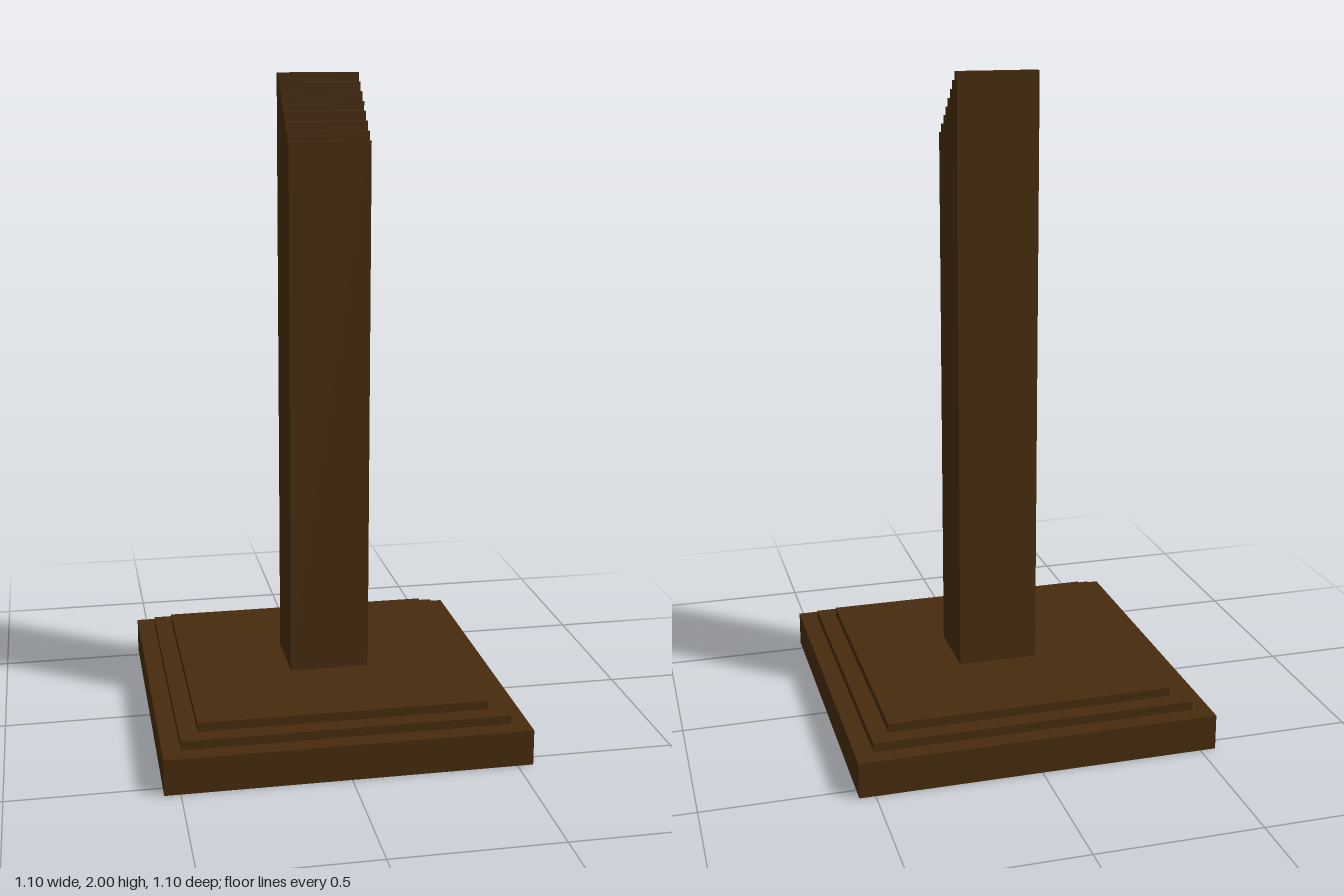
import * as THREE from 'three';

const U = 2 / 73; // one grid step

export function createModel() {
  const group = new THREE.Group();
  const wood = new THREE.MeshStandardMaterial({ color: 0x472c0e });
  wood.name = 'darkBrown';

  const add = (name, geometry) => {
    const mesh = new THREE.Mesh(geometry, wood);
    mesh.name = name;
    group.add(mesh);
    return mesh;
  };

  // Stepped square base: [name, width, bottom, top] in grid steps
  const tiers = [
    ['basePlinth', 40, 0, 4],
    ['middleTier', 36, 4, 5],
    ['upperTier', 32, 5, 6],
  ];
  for (const [name, width, bottom, top] of tiers) {
    const box = new THREE.BoxGeometry(width * U, (top - bottom) * U, width * U);
    add(name, box).position.y = ((bottom + top) / 2) * U;
  }

  // Post: side profile with a staircase top rising towards the back
  const profile = new THREE.Shape();
  profile.moveTo(-4 * U, 6 * U);
  profile.lineTo(4 * U, 6 * U);
  for (let i = 0; i < 8; i++) {
    profile.lineTo((4 - i) * U, (66 + i) * U);
    profile.lineTo((3 - i) * U, (66 + i) * U);
  }
  profile.closePath();
  const post = new THREE.ExtrudeGeometry(profile, { depth: 9 * U, bevelEnabled: false });
  post.rotateY(-Math.PI / 2);
  post.translate(5 * U, 0, 0); // sits half a step to the left of centre
  add('post', post);

  return group;
}
